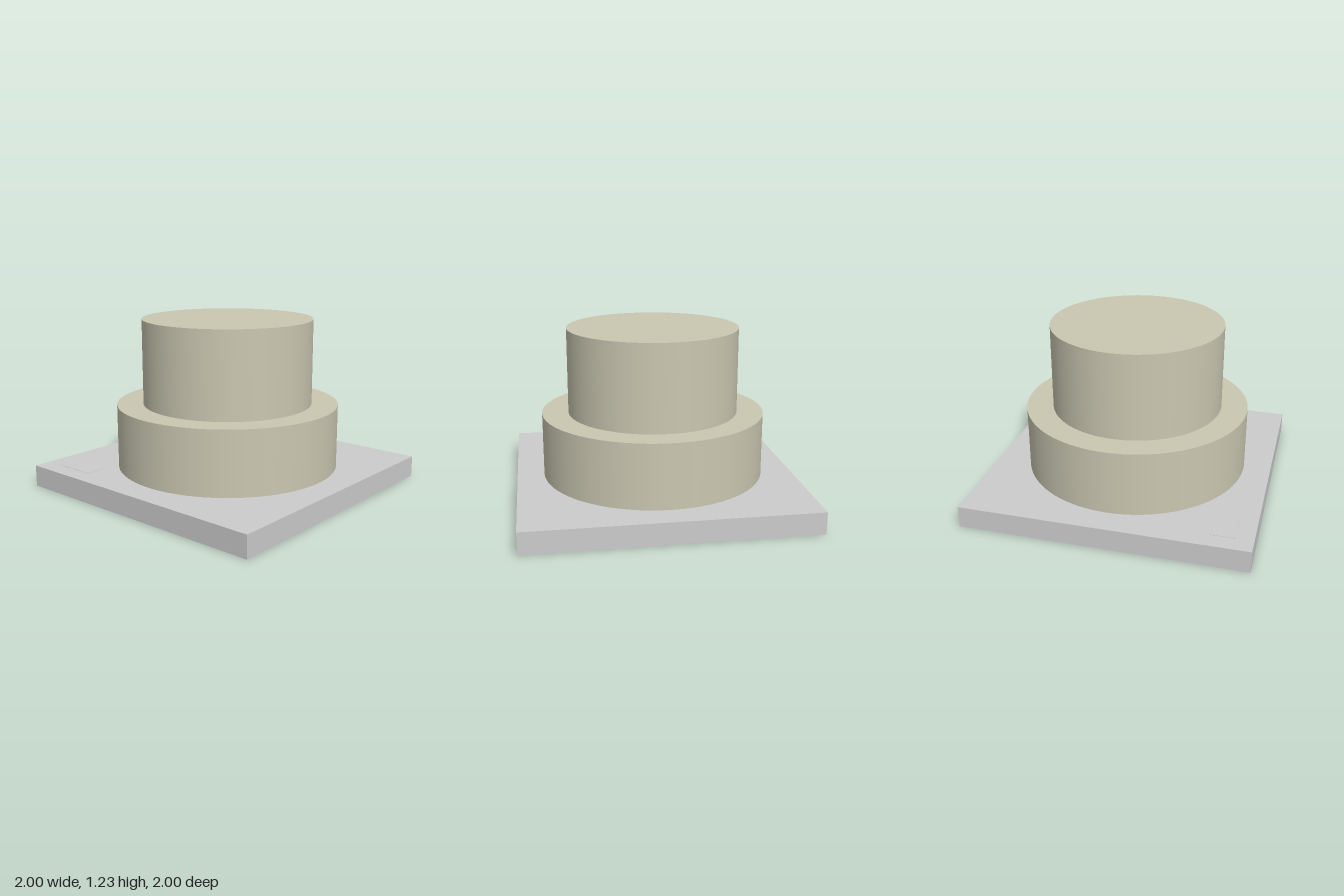
import * as THREE from 'three';

export function createModel() {
  const model = new THREE.Group();
  const grey = new THREE.MeshStandardMaterial({ color: 0xcccccc });
  const cream = new THREE.MeshStandardMaterial({ color: 0xcac7b1 });

  // Adds a part whose underside sits at the given height
  const add = (name, geometry, material, x, bottom, z, height) => {
    const mesh = new THREE.Mesh(geometry, material);
    mesh.name = name;
    mesh.position.set(x, bottom + height / 2, z);
    model.add(mesh);
  };

  // Square cake board
  const boardHeight = 0.155;
  add('cakeBoard', new THREE.BoxGeometry(2, boardHeight, 2), grey, 0, 0, 0, boardHeight);

  // Round tiers stacked on the board
  const tiers = [
    { name: 'lowerTier', radius: 0.805, height: 0.46 },
    { name: 'upperTier', radius: 0.615, height: 0.615 },
  ];
  let y = boardHeight;
  for (const { name, radius, height } of tiers) {
    add(name, new THREE.CylinderGeometry(radius, radius, height, 96), cream, 0, y, 0, height);
    y += height;
  }

  // Thin blank plaque near the front corner of the board
  add('plaque', new THREE.BoxGeometry(0.32, 0.002, 0.16), grey, -0.72, boardHeight, 0.795, 0.002);

  return model;
}
